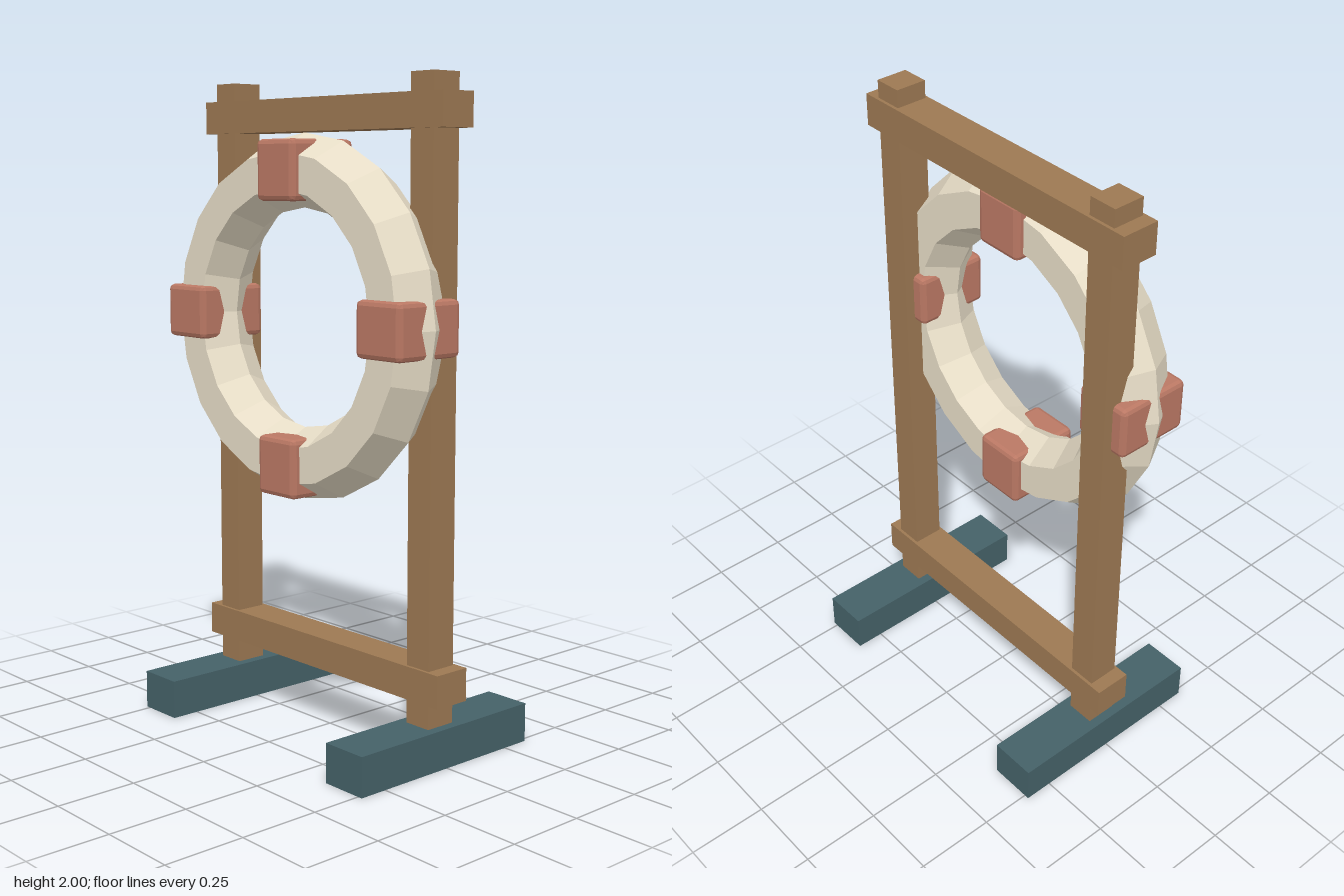
import * as THREE from 'three';
import { RoundedBoxGeometry } from 'three/addons/geometries/RoundedBoxGeometry.js';

const material = (color) => new THREE.MeshStandardMaterial({ color, flatShading: true });

export function createModel() {
  const model = new THREE.Group();
  const wood = material(0x9c7852);
  const slate = material(0x456168);
  const cream = material(0xe6dcc6);
  const clay = material(0xba7864);

  const add = (name, geometry, mat, x, y, z) => {
    const mesh = new THREE.Mesh(geometry, mat);
    mesh.name = name;
    mesh.position.set(x, y, z);
    model.add(mesh);
    return mesh;
  };

  // Feet and upright posts, mirrored left and right
  for (const [side, s] of [['left', 1], ['right', -1]]) {
    add(side + 'Foot', new THREE.BoxGeometry(0.15, 0.12, 0.68), slate, s * 0.44, 0.06, 0);
    add(side + 'Post', new THREE.BoxGeometry(0.09, 2, 0.1), wood, s * 0.44, 1, 0);
  }

  // Cross beams
  add('lowerBeam', new THREE.BoxGeometry(1.06, 0.1, 0.12), wood, 0, 0.245, 0);
  add('upperBeam', new THREE.BoxGeometry(1.06, 0.1, 0.12), wood, 0, 1.895, 0);

  // Faceted ring hung in front of the frame
  const ringRadius = 0.44, ringY = 1.29, ringZ = 0.1;
  add('ring', new THREE.TorusGeometry(ringRadius, 0.11, 6, 20), cream, 0, ringY, ringZ);

  // Four clamps around the ring
  ['left', 'top', 'right', 'bottom'].forEach((place, i) => {
    const a = (i * Math.PI) / 2;
    const clamp = add(place + 'Clamp', new RoundedBoxGeometry(0.18, 0.165, 0.24, 1, 0.015), clay,
      ringRadius * Math.cos(a), ringY + ringRadius * Math.sin(a), ringZ);
    clamp.rotation.z = a;
  });

  return model;
}
